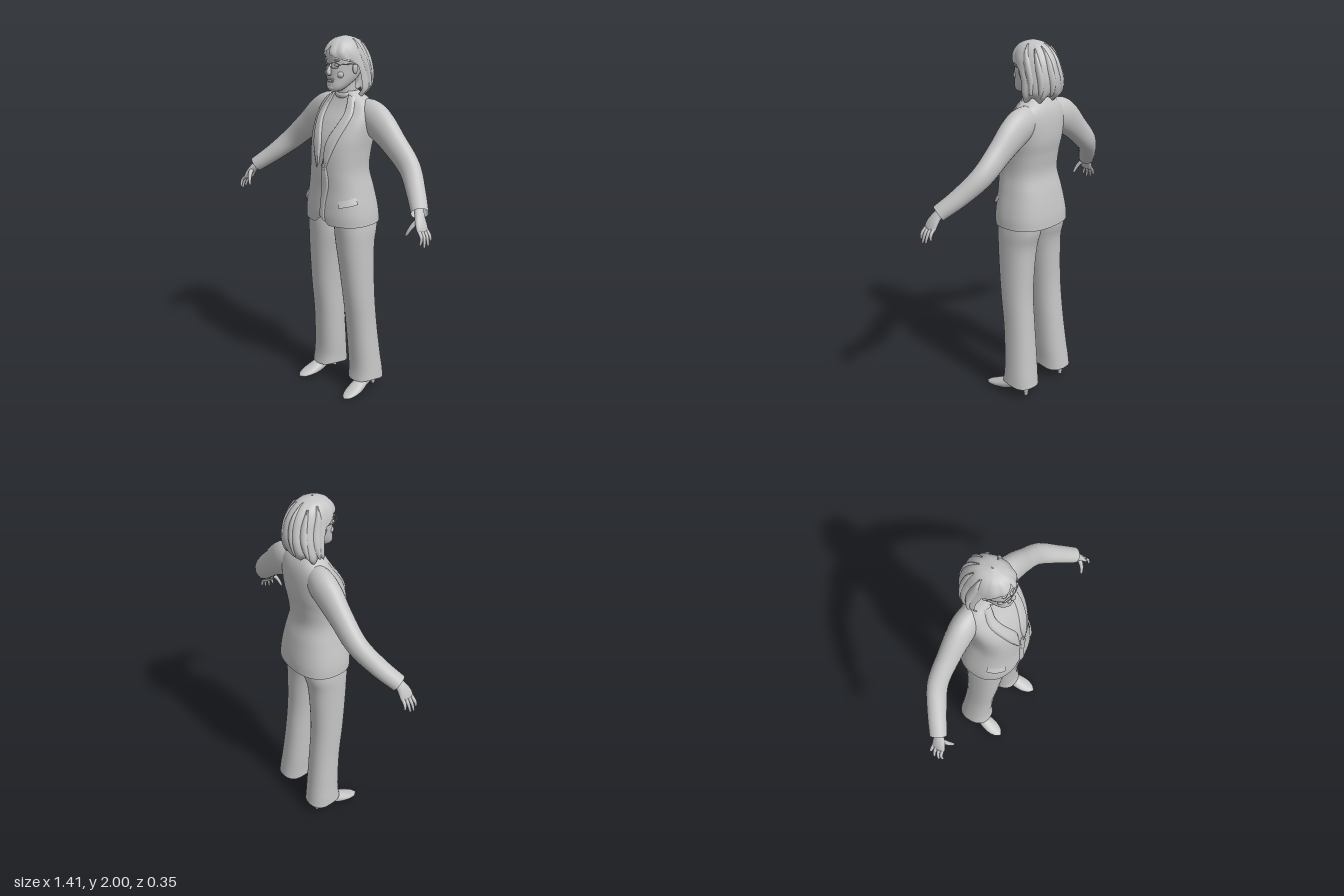
import * as THREE from 'three';
import { mergeVertices } from 'three/addons/utils/BufferGeometryUtils.js';

const V = (x, y, z) => new THREE.Vector3(x, y, z);
const TAU = Math.PI * 2;

// Smooth interpolation of table rows [key, a, b, ...] with increasing key
function at(table, k) {
  const n = table.length;
  let i = 0;
  while (i < n - 2 && k > table[i + 1][0]) i++;
  const A = table[i], B = table[i + 1], P = table[Math.max(i - 1, 0)], Q = table[Math.min(i + 2, n - 1)];
  const h = B[0] - A[0], t = Math.min(1, Math.max(0, (k - A[0]) / h)), s = t * t * (3 - 2 * t);
  return A.slice(1).map((a, j) => {
    const b = B[j + 1];
    const ma = (b - P[j + 1]) / (B[0] - P[0]) * h, mb = (Q[j + 1] - a) / (Q[0] - A[0]) * h;
    return a + (b - a) * s + ma * (t - 2 * t * t + t ** 3) + mb * (t ** 3 - t * t);
  });
}

// Smooth surface from fn(u, v); it faces along du x dv
function grid(fn, nu, nv) {
  const pos = [], idx = [];
  for (let j = 0; j <= nv; j++) for (let i = 0; i <= nu; i++) pos.push(...fn(i / nu, j / nv).toArray());
  for (let j = 0; j < nv; j++) for (let i = 0; i < nu; i++) {
    const a = j * (nu + 1) + i, c = a + nu + 1;
    idx.push(a, a + 1, c, a + 1, c + 1, c);
  }
  const g = new THREE.BufferGeometry();
  g.setAttribute('position', new THREE.Float32BufferAttribute(pos, 3));
  g.setIndex(idx);
  const m = mergeVertices(g, 1e-5);
  m.computeVertexNormals();
  return m;
}

// Point on an upright body; rows are [y, centre x, half width, front z, back z]
const spow = (s, p) => Math.sign(s) * Math.abs(s) ** (2 / p);
function surf(table, y, phi, p = 2, off = 0) {
  const [xc, rx, zf, zb] = at(table, y);
  return V(xc + (rx + off) * spow(Math.sin(phi), p), y, (zf + zb) / 2 + ((zf - zb) / 2 + off) * spow(Math.cos(phi), p));
}
function upright(table, nu, nv, p = 2, tweak = q => q) {
  const y0 = table[0][0], y1 = table[table.length - 1][0];
  return grid((u, v) => tweak(surf(table, y0 + (y1 - y0) * v, u * TAU, p)), nu, nv);
}

// Tube through stations [x, y, z, ra, rb]; rb lies along ref
function tube(st, ref, nu = 16, nv = 20) {
  const curve = new THREE.CatmullRomCurve3(st.map(s => V(s[0], s[1], s[2])));
  const radii = st.map((s, i) => [i, s[3], s[4]]);
  return grid((u, v) => {
    const T = curve.getTangent(v), a = ref.clone().cross(T).normalize(), b = T.clone().cross(a);
    const [ra, rb] = at(radii, v * (st.length - 1)), th = u * TAU;
    return curve.getPoint(v).addScaledVector(a, ra * Math.cos(th)).addScaledVector(b, rb * Math.sin(th));
  }, nu, nv);
}

function mirrored(g) {
  const m = g.clone().scale(-1, 1, 1), ix = m.index.array;
  for (let i = 0; i < ix.length; i += 3) [ix[i], ix[i + 1]] = [ix[i + 1], ix[i]];
  return m;
}

const JACKET = [
  [1.01, 0, .208, .165, -.165], [1.06, 0, .205, .168, -.163], [1.12, 0, .195, .165, -.155],
  [1.2, 0, .178, .16, -.14], [1.3, 0, .16, .16, -.118], [1.4, 0, .163, .154, -.128],
  [1.48, 0, .172, .136, -.143], [1.56, 0, .178, .095, -.145], [1.62, 0, .17, .052, -.138],
  [1.66, 0, .145, .028, -.125], [1.69, 0, .1, .015, -.105], [1.715, 0, .058, .01, -.08]];
const LEG = [
  [.07, .145, .09, .06, -.142], [.12, .143, .088, .052, -.135], [.2, .137, .086, .052, -.125],
  [.4, .128, .081, .066, -.105], [.6, .123, .082, .09, -.09], [.8, .112, .09, .11, -.092],
  [.9, .104, .097, .118, -.1], [.98, .1, .1, .124, -.122], [1.1, .095, .09, .125, -.125]];
const HEAD = [
  [1.715, 0, .012, .075, .03], [1.725, 0, .036, .09, .015], [1.745, 0, .054, .096, -.02],
  [1.78, 0, .07, .093, -.08], [1.82, 0, .078, .092, -.11], [1.87, 0, .083, .09, -.125],
  [1.92, 0, .08, .092, -.12], [1.96, 0, .06, .065, -.09], [1.985, 0, .01, .01, -.03]];
const HAIR = [
  [1.7, -.01, .105, .03, -.12], [1.73, -.01, .124, .04, -.155], [1.8, -.006, .119, .06, -.173],
  [1.87, 0, .107, .09, -.164], [1.92, 0, .095, .102, -.145], [1.96, 0, .077, .08, -.113],
  [1.985, 0, .05, .045, -.075], [2, 0, .002, -.01, -.02]];

// Panel lying on the jacket front between two edge curves of [x, y]
function frontPanel(left, right, off = .006) {
  const curve = pts => new THREE.CatmullRomCurve3(pts.map(([x, y]) => V(x, y, 0)));
  const a = curve(left), b = curve(right);
  return grid((u, v) => {
    const q = a.getPoint(v).lerp(b.getPoint(v), u), [, rx, zf, zb] = at(JACKET, q.y);
    const k = Math.min(1, Math.abs(q.x) / rx);
    q.z = (zf + zb) / 2 + (zf - zb) / 2 * (1 - k ** 2.4) ** (1 / 2.4) + off * (u === 0 || u === 1 ? 0 : 1);
    return q;
  }, 8, 24);
}

export function createModel() {
  const root = new THREE.Group();
  root.name = 'woman';
  const grey = new THREE.MeshStandardMaterial({ color: 0xc4c4c4, side: THREE.DoubleSide });
  grey.name = 'light grey';
  const add = (name, g) => {
    const m = new THREE.Mesh(g, grey);
    m.name = name;
    root.add(m);
    return m;
  };
  const both = (name, g) => { add(name + 'Left', g); add(name + 'Right', mirrored(g)); };

  // Jacket, with its hem rounded away at the front opening
  add('jacket', upright(JACKET, 64, 56, 2.4, q => {
    if (q.z > 0 && q.y < 1.08) q.y += .04 * Math.max(0, 1 - Math.abs(q.x) / .05) * (1.08 - q.y) / .07;
    return q;
  }));
  both('lapel', frontPanel(
    [[.02, 1.34], [.015, 1.45], [.066, 1.6], [.05, 1.7]],
    [[.03, 1.32], [.085, 1.47], [.116, 1.6], [.088, 1.69]], .01));
  add('frontOverlap', frontPanel(
    [[-.01, 1.06], [-.005, 1.13], [0, 1.25], [.005, 1.36]],
    [[.03, 1.03], [.03, 1.12], [.05, 1.25], [.025, 1.36]], .006));
  both('pocketFlap', grid((u, v) => surf(JACKET, 1.12 + .02 * u + .035 * v, .55 + .65 * u, 2.4,
    .003 + .008 * (1 - v)), 12, 3));
  const button = add('button', new THREE.SphereGeometry(.009, 12, 8));
  button.position.set(.022, 1.32, .166);
  button.scale.z = .5;

  // Sleeves
  both('sleeve', tube([
    [.06, 1.6, -.06, .07, .05], [.15, 1.588, -.062, .09, .066], [.22, 1.55, -.06, .09, .066],
    [.32, 1.472, -.055, .073, .058], [.44, 1.37, -.04, .062, .053], [.54, 1.275, .022, .05, .05],
    [.624, 1.2, .088, .042, .046]], V(0, 0, 1), 28, 36));

  // Hands
  both('palm', tube([
    [.605, 1.215, .075, .02, .026], [.63, 1.185, .095, .02, .03], [.652, 1.15, .108, .017, .038],
    [.666, 1.12, .113, .012, .036], [.67, 1.112, .114, .001, .002]], V(0, 0, 1)));
  [[.688, 1.07, .155], [.697, 1.055, .135], [.7, 1.06, .11], [.692, 1.078, .082]].forEach(([x, y, z], i) => {
    const k = V(.665, 1.128, .139 - .018 * i), m = V(.688, 1.1, .147 - .021 * i);
    both('finger' + (i + 1), tube([
      [k.x, k.y, k.z, .009, .01], [m.x, m.y, m.z, .008, .009], [x, y, z, .006, .006],
      [x, y - .006, z, .001, .001]], V(0, 0, 1), 10, 12));
  });
  both('thumb', tube([
    [.635, 1.175, .115, .014, .014], [.618, 1.14, .145, .011, .011], [.6, 1.1, .16, .007, .007],
    [.596, 1.092, .161, .001, .001]], V(0, 0, 1), 10, 12));

  // Trousers
  both('trouserLeg', upright(LEG, 36, 44, 2.3, q => {
    if (q.y < .1) q.y += .008 * Math.cos(q.z * 28);
    return q;
  }));

  // Heeled shoes: [x, sole to top middle, z, half height, half width]
  both('shoe', tube([
    [.158, .08, -.115, .004, .004], [.158, .08, -.107, .028, .026], [.16, .072, -.06, .034, .034],
    [.164, .056, 0, .034, .036], [.17, .036, .055, .033, .043], [.177, .023, .11, .021, .043],
    [.182, .014, .155, .012, .027], [.184, .012, .175, .002, .004]], V(1, 0, 0), 20, 32));
  both('shoeHeel', new THREE.CylinderGeometry(.022, .01, .075, 14).translate(.158, .0375, -.09));

  // Neck and blouse collar
  add('neck', upright([[1.62, 0, .062, .03, -.09], [1.69, 0, .052, .022, -.082], [1.78, 0, .05, .03, -.08]], 28, 8));
  const collar = add('blouseCollar', new THREE.TorusGeometry(.053, .009, 8, 32).rotateX(Math.PI / 2));
  collar.position.set(0, 1.698, -.03);
  collar.rotation.x = .15;
  collar.scale.y = 1.6;

  // Head and face
  add('head', upright(HEAD, 40, 36, 2.2));
  add('nose', tube([
    [0, 1.875, .086, .003, .006], [0, 1.85, .094, .008, .008], [0, 1.825, .104, .012, .012],
    [0, 1.813, .102, .01, .015], [0, 1.806, .09, .002, .006]], V(1, 0, 0), 12, 16));
  const blob = (name, x, y, z, sx, sy, sz) =>
    both(name, new THREE.SphereGeometry(1, 14, 10).scale(sx, sy, sz).translate(x, y, z));
  blob('eye', .033, 1.86, .076, .014, .008, .012);
  blob('brow', .034, 1.884, .08, .022, .005, .01);
  blob('cheek', .04, 1.81, .062, .024, .022, .02);
  blob('ear', .086, 1.84, -.005, .009, .03, .018);
  blob('upperLip', .01, 1.784, .09, .016, .005, .009);
  blob('lowerLip', .007, 1.774, .089, .017, .006, .009);
  blob('chin', .006, 1.74, .085, .018, .014, .013);

  // Glasses
  both('glassesRim', new THREE.TorusGeometry(1, .07, 6, 28).scale(.027, .015, .027).rotateY(.25).translate(.036, 1.86, .098));
  both('glassesTemple', tube([[.062, 1.865, .092, .002, .002], [.084, 1.866, .05, .002, .003],
    [.092, 1.862, -.01, .002, .003]], V(0, 1, 0), 6, 8));
  add('glassesBridge', new THREE.BoxGeometry(.022, .004, .004).translate(0, 1.865, .105));

  // Bobbed hair with a swept fringe; it opens around the face below the brow
  const open = (y, top, depth) => 1.3 * THREE.MathUtils.smoothstep(top - y, 0, depth);
  add('hair', grid((u, v) => {
    const y = 1.7 + .3 * (1 - (1 - v) ** 1.4);
    const a = open(y, 1.925, .07), b = open(y, 1.955, .1);
    const phi = a + (TAU - a - b) * u;
    const fade = Math.min(1, (2 - y) / .12);
    const lock = .004 * fade * (Math.abs(Math.sin(phi * 5.5 + 2 * y)) * 2 - 1 + .5 * Math.sin(phi * 9));
    const q = surf(HAIR, y, phi, 2.1, lock);
    q.y += .014 * (1 - v) ** 6 * Math.sin(phi * 7);
    return q;
  }, 120, 36));
  // Raised locks over the back and sides
  [-2.3, -1.75, 1.7, 2.2, 2.75, 3.35].forEach((phi, i) => add('hairLock' + (i + 1), grid((u, v) => {
    const y = 1.715 + .01 * (i % 3) + .25 * v, w = .17 * Math.sin(Math.PI * (.15 + .75 * v));
    return surf(HAIR, y, phi + w * (u * 2 - 1) + .15 * (1 - v), 2.1, .009 * Math.sin(Math.PI * u));
  }, 8, 16)));

  return root;
}
